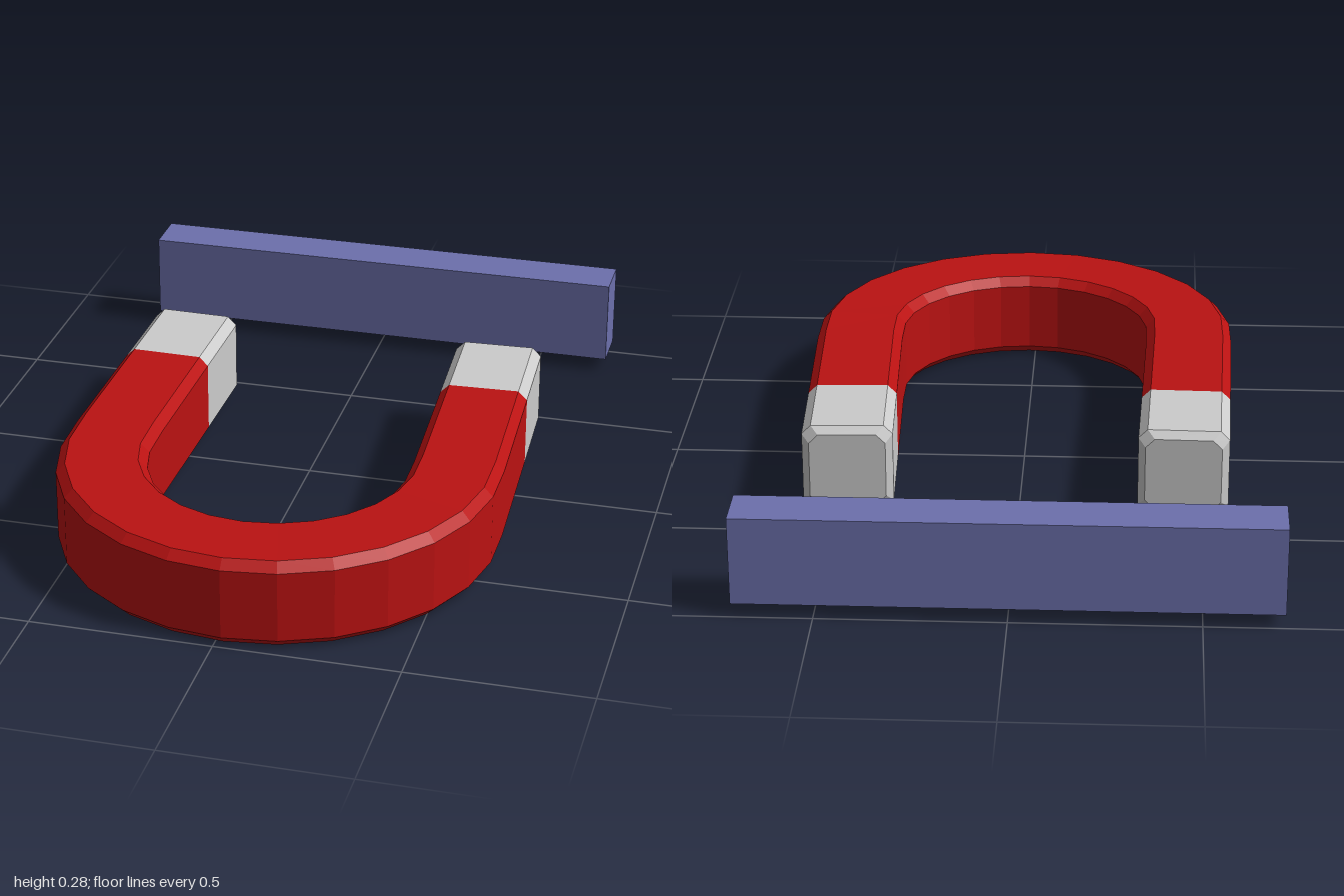
import * as THREE from 'three';

const HALF = 0.124;    // half thickness of the square bar
const CHAMFER = 0.025;

const material = (color) => new THREE.MeshStandardMaterial({ color, flatShading: true });

// the magnet leans slightly: its tips sit a little higher than its bend
const heightAt = (z) => 0.125 + (1 - z) * 0.018;

// chamfered square, counter-clockwise
function section(half) {
  const h = half, k = half - CHAMFER;
  return [[h, -k], [h, k], [k, h], [-k, h], [-h, k], [-h, -k], [-k, -h], [k, -h]];
}

// sweep the section along [x, z, inset] stations, optionally closing the far end
function sweep(stations, capEnd) {
  const up = new THREE.Vector3(0, 1, 0);
  const points = stations.map(([x, z]) => new THREE.Vector3(x, heightAt(z), z));
  const positions = [], index = [];
  const last = points.length - 1;
  points.forEach((p, i) => {
    const tangent = points[Math.min(i + 1, last)].clone().sub(points[Math.max(i - 1, 0)]).setY(0).normalize();
    const side = up.clone().cross(tangent);
    for (const [a, b] of section(HALF - (stations[i][2] || 0))) {
      positions.push(p.x + side.x * a, p.y + b, p.z + side.z * a);
    }
  });
  for (let i = 0; i < last; i++) {
    for (let j = 0; j < 8; j++) {
      const a = i * 8 + j, b = i * 8 + (j + 1) % 8;
      index.push(a, b, b + 8, a, b + 8, a + 8);
    }
  }
  if (capEnd) for (let j = 1; j < 7; j++) index.push(last * 8, last * 8 + j, last * 8 + j + 1);
  const geometry = new THREE.BufferGeometry();
  geometry.setAttribute('position', new THREE.Float32BufferAttribute(positions, 3));
  geometry.setIndex(index);
  const flat = geometry.toNonIndexed();
  flat.computeVertexNormals();
  return flat;
}

export function createModel() {
  const model = new THREE.Group();
  const add = (name, geometry, color) => {
    const mesh = new THREE.Mesh(geometry, material(color));
    mesh.name = name;
    model.add(mesh);
    return mesh;
  };

  // centre lines of the two slightly converging arms, from bend to tip
  const arms = {
    right: { start: [-0.467, 0.3], end: [-0.45, -0.413] },
    left: { start: [0.496, 0.3], end: [0.464, -0.42] },
  };
  const along = ({ start, end }, t) => [0, 1].map((i) => start[i] + (end[i] - start[i]) * t);
  const JOINT = 0.582;

  // red horseshoe: arm, faceted bend, arm
  const path = [along(arms.right, JOINT), arms.right.start];
  for (let k = -6; k <= 6; k++) {
    const angle = THREE.MathUtils.degToRad(k * 14 + 0.5);
    path.push([0.015 + 0.4825 * Math.sin(angle), 0.387 + 0.4825 * Math.cos(angle)]);
  }
  path.push(arms.left.start, along(arms.left, JOINT));
  add('horseshoe', sweep(path, false), 0xba1212);

  // bare metal tips with chamfered ends
  for (const [side, arm] of Object.entries(arms)) {
    const tip = [along(arm, JOINT), along(arm, 0.972), [...along(arm, 1), 0.02]];
    add(side + 'Tip', sweep(tip, true), 0xcccccc);
  }

  // keeper bar lying beyond the tips
  const bar = add('keeperBar', new THREE.BoxGeometry(1.424, 0.243, 0.138), 0x6c70ac);
  bar.position.set(0, 0.163, -0.931);

  return model;
}
